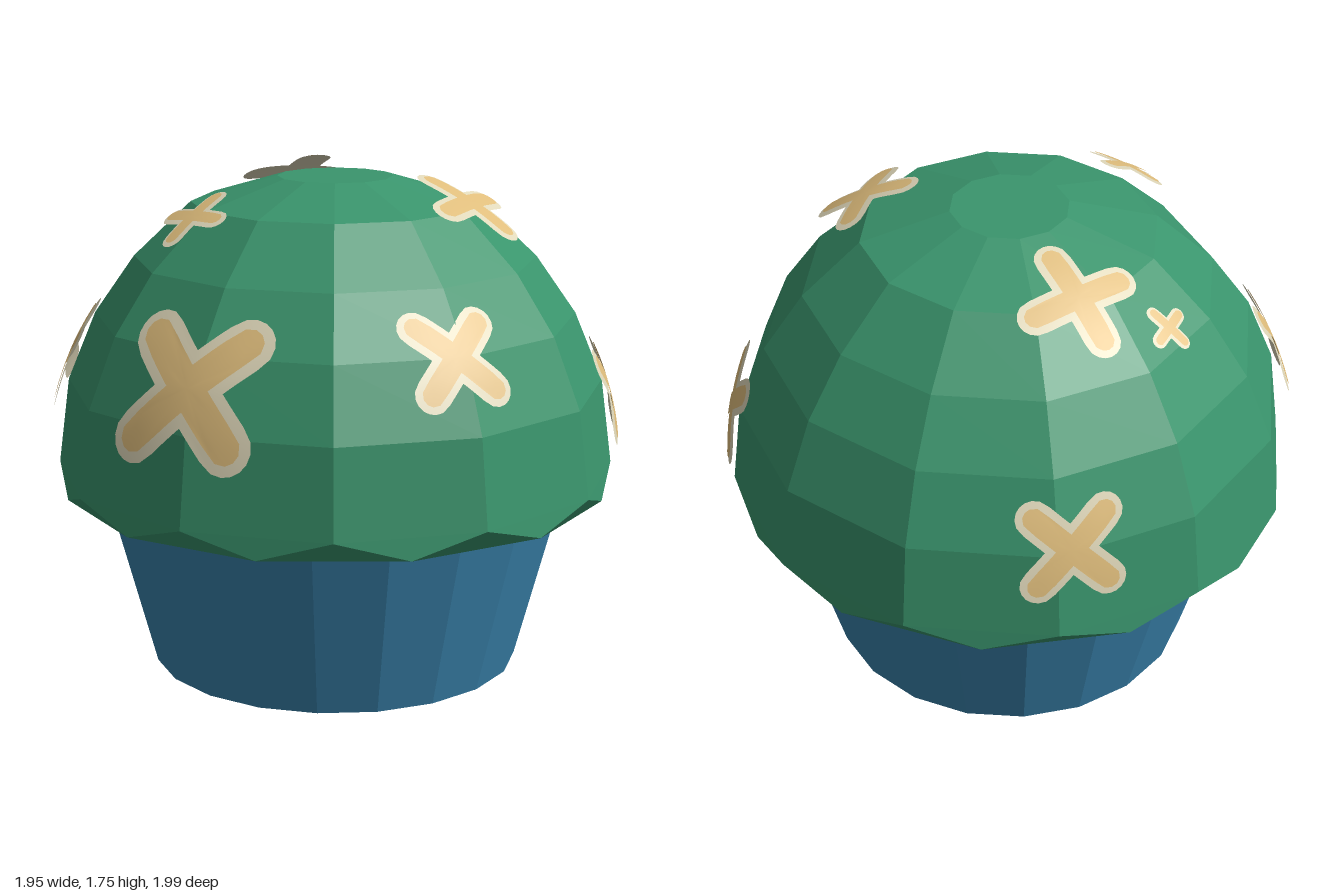
import * as THREE from 'three';

const mat = (name, color, extra = {}) => {
  const m = new THREE.MeshStandardMaterial({ color, ...extra });
  m.name = name;
  return m;
};

const DOME_CENTRE = new THREE.Vector3(0, 0.7, -0.02);
const SIDES = 12;
const START = THREE.MathUtils.degToRad(23);

// Scalloped lower edge of the dome, with its flat underside
function rimGeometry() {
  const pos = [];
  const at = (k, r, y) => {
    const a = START + (k * 2 * Math.PI) / SIDES;
    return [r * Math.sin(a), y, r * Math.cos(a)];
  };
  const corner = k => at(k, 0.98, 0.7);
  const low = k => at(k + 0.5, 0.955, 0.625);
  for (let k = 0; k < SIDES; k++) {
    pos.push(...corner(k), ...low(k), ...corner(k + 1));
    pos.push(...low(k), ...low(k + 1), ...corner(k + 1));
    pos.push(0, 0.625, 0, ...low(k + 1), ...low(k));
  }
  const g = new THREE.BufferGeometry();
  g.setAttribute('position', new THREE.Float32BufferAttribute(pos, 3));
  g.computeVertexNormals();
  return g;
}

// Four rounded petals in a cross, bent over a sphere; w is the petal half width
function crossGeometry(tip, w, size, lift) {
  const RINGS = 4, N = 64, pos = [0, 0, lift], index = [];
  const c = tip - w, join = Math.atan2(w, c);
  const radius = a => {
    const q = Math.PI / 2;
    const d = Math.abs(a - Math.round(a / q) * q);
    if (d > join) return w / Math.sin(d);
    return c * Math.cos(d) + Math.sqrt(Math.max(0, w * w - (c * Math.sin(d)) ** 2));
  };
  for (let i = 1; i <= RINGS; i++) {
    for (let j = 0; j < N; j++) {
      const a = (j / N) * 2 * Math.PI, r = (radius(a) * size * i) / RINGS;
      pos.push(r * Math.cos(a), r * Math.sin(a), lift - 0.45 * r * r);
    }
  }
  const id = (i, j) => (i === 0 ? 0 : 1 + (i - 1) * N + (j % N));
  for (let j = 0; j < N; j++) {
    index.push(0, id(1, j), id(1, j + 1));
    for (let i = 1; i < RINGS; i++) {
      index.push(id(i, j), id(i + 1, j), id(i + 1, j + 1));
      index.push(id(i, j), id(i + 1, j + 1), id(i, j + 1));
    }
  }
  const g = new THREE.BufferGeometry();
  g.setAttribute('position', new THREE.Float32BufferAttribute(pos, 3));
  g.setIndex(index);
  g.computeVertexNormals();
  return g;
}

export function createModel() {
  const model = new THREE.Group();
  model.name = 'cactusCupcake';
  const green = mat('green', 0x3a956d, { flatShading: true });
  const blue = mat('blue', 0x3a84ae, { flatShading: true });
  const cream = mat('cream', 0xe0d8ba, { side: THREE.DoubleSide });
  const tan = mat('tan', 0xdfbd7c, { side: THREE.DoubleSide });

  const add = (name, geometry, material, parent = model) => {
    const mesh = new THREE.Mesh(geometry, material);
    mesh.name = name;
    parent.add(mesh);
    return mesh;
  };

  // Tapered cup with a green base
  const cup = add('cup', new THREE.CylinderGeometry(0.815, 0.648, 0.63, 20), [blue, blue, green]);
  cup.position.set(0, 0.315, -0.02);

  // Faceted dome
  const profile = [[0.98, 0.7], [0.94, 1.0], [0.84, 1.24], [0.7, 1.44], [0.5, 1.63], [0.2, 1.72], [0, 1.72]]
    .map(([r, y]) => new THREE.Vector2(r, y));
  add('dome', new THREE.LatheGeometry(profile, SIDES, START), green).position.z = -0.02;
  add('domeRim', rimGeometry(), green).position.z = -0.02;

  // Cross-shaped flowers: centre, distance from dome centre, petal length, turn in degrees
  const flowers = [
    [-0.11, 1.16, 0.91, 1.035, 0.325, 45],
    [0.62, 1.22, 0.49, 1.0, 0.22, 45],
    [-0.3, 1.63, 0.47, 1.09, 0.15, 8],
    [0.51, 1.66, 0.03, 1.09, 0.205, 0],
    [0.9, 0.98, -0.33, 1.0, 0.22, 45],
    [-0.32, 1.68, -0.42, 1.095, 0.215, 8],
    [-0.6, 1.55, -0.33, 1.075, 0.09, 15],
    [-0.41, 1.04, -0.88, 1.01, 0.22, 45],
    [-0.86, 1.1, 0.33, 1.01, 0.215, 30],
  ];
  for (const [x, y, z, dist, size, turn] of flowers) {
    const flower = new THREE.Group();
    flower.name = 'flower';
    const out = new THREE.Vector3(x, y, z).sub(DOME_CENTRE).normalize();
    flower.position.copy(DOME_CENTRE).addScaledVector(out, dist);
    flower.lookAt(flower.position.clone().add(out));
    flower.rotateZ(THREE.MathUtils.degToRad(turn));
    add('flowerEdge', crossGeometry(1, 0.28, size, 0), cream, flower);
    add('flowerPetals', crossGeometry(0.9, 0.17, size, 0.005), tan, flower);
    model.add(flower);
  }
  return model;
}
